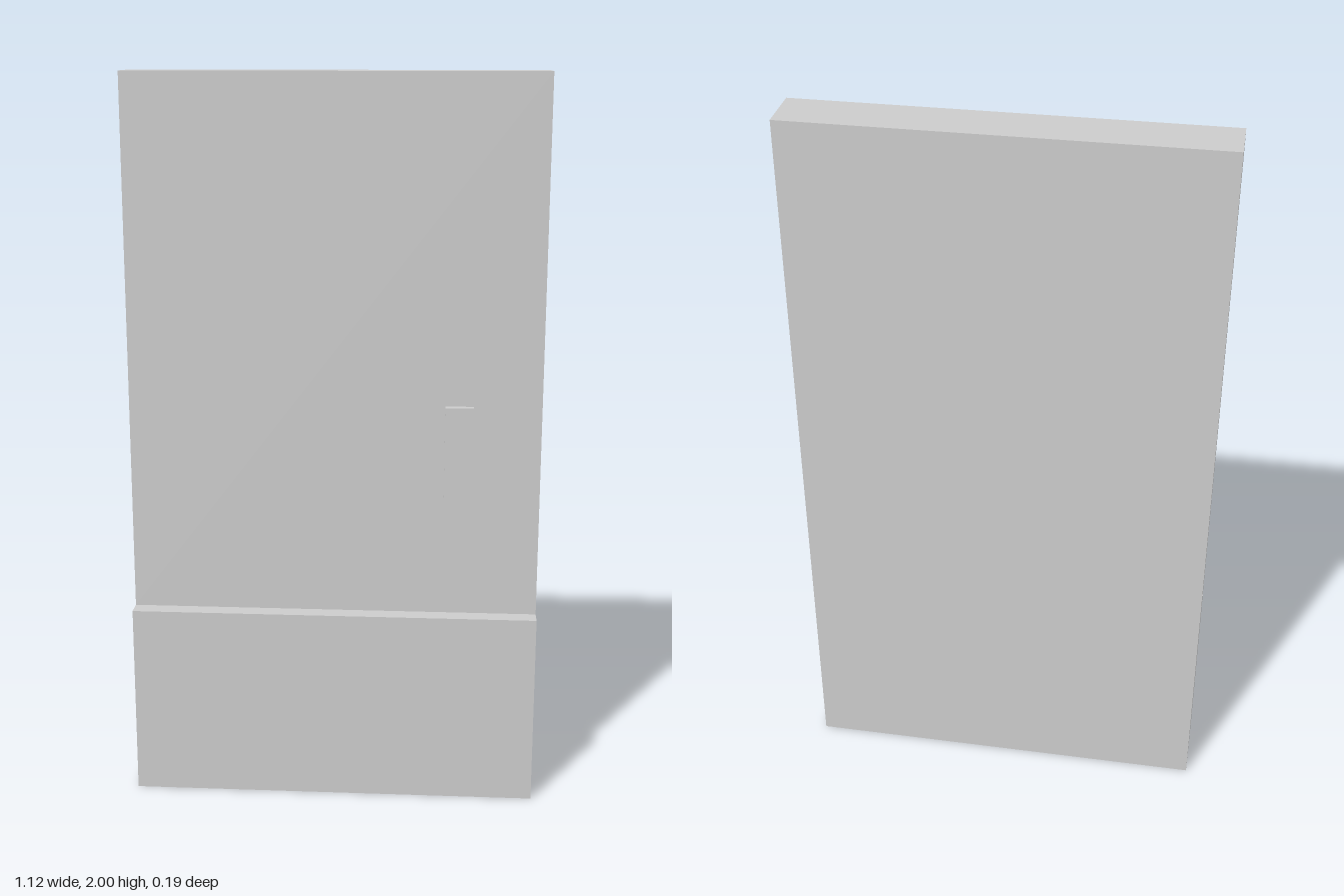
import * as THREE from 'three';

const WIDTH = 1.12, HEIGHT = 2, BACK = -0.095, FACE = 0.045;
const KICK_FRONT = 0.095, KICK_TOP = 0.535;

export function createModel() {
  const model = new THREE.Group();
  model.name = 'door';
  const material = new THREE.MeshStandardMaterial({ color: 0xcccccc, flatShading: true });

  // Door panel with its thicker kick board: one stepped side profile (z, y) run across the width
  const profile = new THREE.Shape([
    [BACK, 0], [KICK_FRONT, 0], [KICK_FRONT, KICK_TOP],
    [FACE, KICK_TOP], [FACE, HEIGHT], [BACK, HEIGHT],
  ].map(([z, y]) => new THREE.Vector2(z, y)));
  const panelGeometry = new THREE.ExtrudeGeometry(profile, { depth: WIDTH, bevelEnabled: false });
  panelGeometry.translate(0, 0, -WIDTH / 2).rotateY(-Math.PI / 2);
  const panel = new THREE.Mesh(panelGeometry, material);
  panel.name = 'doorPanel';
  model.add(panel);

  // Flat handle plate resting on the front face
  const plateDepth = 0.022;
  const handle = new THREE.Mesh(new THREE.BoxGeometry(0.076, 0.31, plateDepth), material);
  handle.name = 'handlePlate';
  handle.position.set(0.338, 0.968, FACE + plateDepth / 2);
  model.add(handle);

  return model;
}
